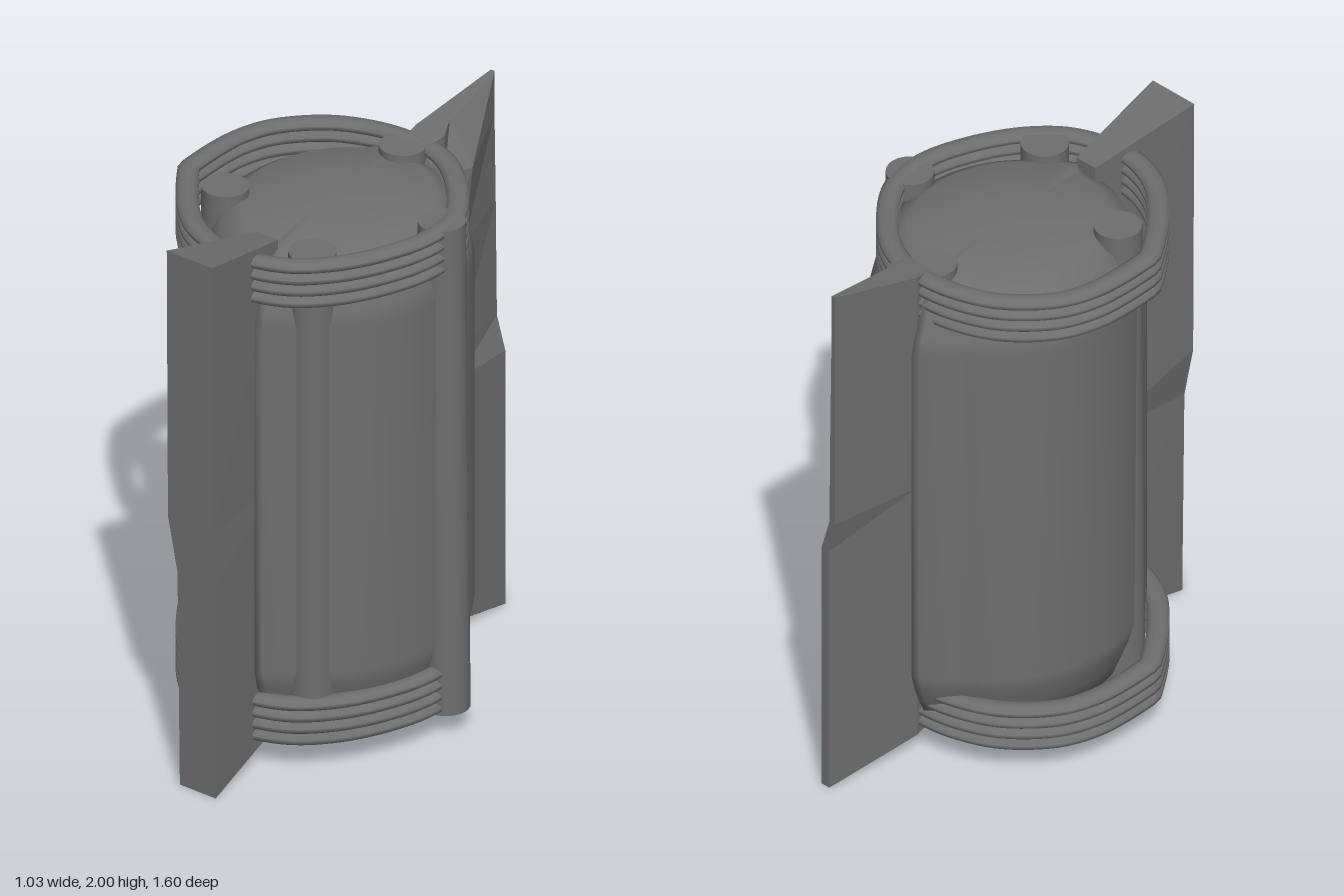
import * as THREE from 'three';

export function createModel() {
  const model = new THREE.Group();
  const grey = new THREE.MeshStandardMaterial({ color: 0x6e6e6e, side: THREE.DoubleSide });
  grey.name = 'dark grey';

  const add = (name, geometry, x = 0, y = 0, z = 0) => {
    const mesh = new THREE.Mesh(geometry, grey);
    mesh.name = name;
    mesh.position.set(x, y, z);
    model.add(mesh);
    return mesh;
  };

  // Faceted solid through equal-sized [x, z] outlines at heights t (0 to 1);
  // the ends slope outward until they reach the full height at z = 0.8.
  const halfHeight = (z) => 0.915 + 0.085 * Math.min(1, Math.max(0, (Math.abs(z) - 0.4) / 0.4));
  const loft = (sections) => {
    const rings = sections.map(({ t, outline }) =>
      outline.map(([x, z]) => [x, 1 + (2 * t - 1) * halfHeight(z), z]));
    const n = rings[0].length;
    const out = [];
    const tri = (a, b, c) => out.push(...a, ...b, ...c);
    for (let i = 0; i < rings.length - 1; i++) {
      for (let j = 0; j < n; j++) {
        const k = (j + 1) % n;
        const [a, b, c, d] = [rings[i][j], rings[i][k], rings[i + 1][k], rings[i + 1][j]];
        tri(a, c, b);
        tri(a, d, c);
      }
    }
    const bottom = rings[0], top = rings[rings.length - 1];
    for (let j = 1; j < n - 1; j++) {
      tri(bottom[0], bottom[j], bottom[j + 1]);
      tri(top[0], top[j + 1], top[j]);
    }
    const g = new THREE.BufferGeometry();
    g.setAttribute('position', new THREE.Float32BufferAttribute(out, 3));
    g.computeVertexNormals();
    return g;
  };

  // Canister body: oval barrel with bevelled shoulders and shallow domed ends
  const upper = [[1, 1.65], [0.97, 1.71], [0.92, 1.775], [0.86, 1.845], [0.72, 1.885], [0.35, 1.9], [0.001, 1.903]];
  const lower = upper.map(([r, y]) => [r, 2 - y]).reverse();
  const profile = [...lower, ...upper].map(([r, y]) => new THREE.Vector2(r, y));
  const barrel = new THREE.LatheGeometry(profile, 120);
  // The wall swells beside each fin, on opposite sides, and drops sharply at the fin
  const pos = barrel.attributes.position;
  for (let i = 0; i < pos.count; i++) {
    const x = pos.getX(i), z = pos.getZ(i);
    const angle = ((Math.atan2(x, z) * 180 / Math.PI) + 360) % 180;
    const swell = angle < 9 ? Math.max(0, (angle - 6) / 3) : Math.max(0, (28 - angle) / 19);
    const f = 1 + 0.115 * swell;
    pos.setX(i, x * f);
    pos.setZ(i, z * f);
  }
  barrel.scale(0.43, 1, 0.482);
  barrel.computeVertexNormals();
  add('body', barrel, 0.02, 0, 0.02);

  // Four round posts around the body
  const posts = [
    ['rightPost', -0.292, 0.225, -0.008],
    ['frontLeftPost', 0.208, 0.387, 0],
    ['leftPost', 0.425, -0.035, 0.011],
    ['backPost', 0.003, -0.35, 0],
  ];
  for (const [name, x, z, lean] of posts) {
    add(name, new THREE.CylinderGeometry(0.08, 0.08, 1.825, 24), x, 1.003, z).rotation.z = lean;
  }

  // Stacked flattened coils at the top and the bottom, each with one corner
  const loop = [
    [-0.475, 0.02], [-0.465, -0.08], [-0.42, -0.2], [-0.29, -0.335], [-0.135, -0.4],
    [0, -0.413], [0.12, -0.392], [0.255, -0.305], [0.41, -0.11], [0.435, 0.06],
    [0.385, 0.24], [0.295, 0.395], [0.175, 0.5], [-0.02, 0.543], [-0.19, 0.49],
    [-0.33, 0.37], [-0.452, 0.212], [-0.468, 0.185], [-0.473, 0.13],
  ].map(([x, z]) => new THREE.Vector3(x, 0, z));
  const coil = new THREE.TubeGeometry(new THREE.CatmullRomCurve3(loop, true), 100, 0.038, 10, true);
  coil.scale(1, 0.56, 1);
  for (let i = 0; i < 4; i++) {
    add('topCoil', coil, 0, 1.77 + i * 0.043, 0);
    add('bottomCoil', coil, 0, 0.116 + i * 0.043, 0);
  }

  // Front fin: widens outward, with a step in its edge halfway up
  const frontOutline = (left, right) => [[-0.01, 0.4], [left, 0.8], [right, 0.8], [0.075, 0.4]];
  add('frontFin', loft([
    { t: 0, outline: frontOutline(-0.02, 0.13) },
    { t: 0.4, outline: frontOutline(-0.03, 0.13) },
    { t: 0.5, outline: frontOutline(-0.07, 0.12) },
    { t: 1, outline: frontOutline(-0.075, 0.115) },
  ]));

  // Back fin: a blade that bulges near the top, its outer edge stepping sideways
  const backOutline = (outerLeft, outerRight, bulge) => [
    [0.08, -0.38], [0.09, -0.46], [bulge, -0.54], [outerRight, -0.8],
    [outerLeft, -0.8], [-0.03, -0.46], [-0.02, -0.38],
  ];
  add('backFin', loft([
    { t: 0, outline: backOutline(0.04, 0.075, 0.08) },
    { t: 0.48, outline: backOutline(0.04, 0.075, 0.08) },
    { t: 0.54, outline: backOutline(0.015, 0.04, 0.085) },
    { t: 0.76, outline: backOutline(0.015, 0.035, 0.11) },
    { t: 0.92, outline: backOutline(0.015, 0.03, 0.145) },
    { t: 1, outline: backOutline(0.015, 0.03, 0.05) },
  ]));

  return model;
}
